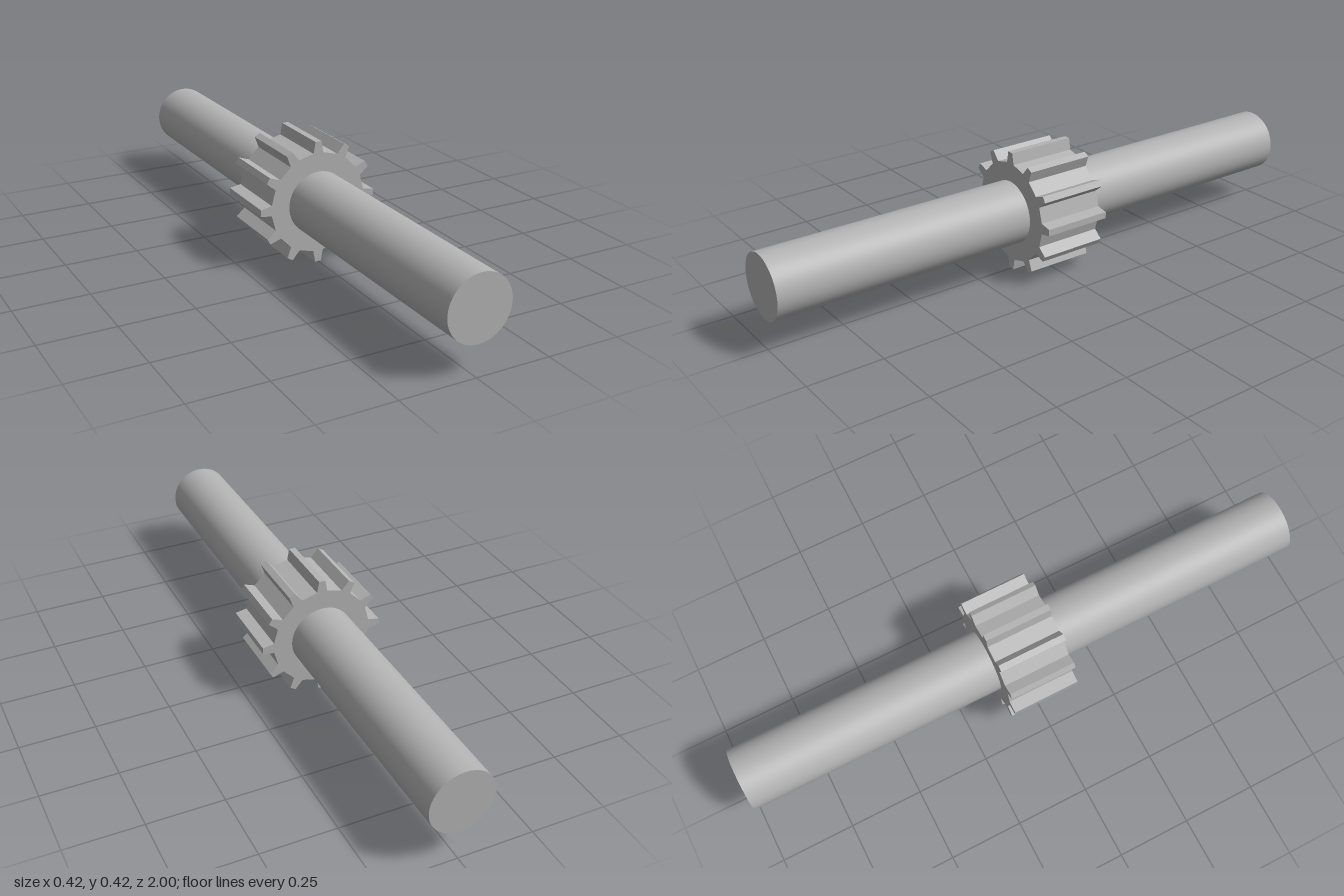
import * as THREE from 'three';

const CENTER_Y = 0.209;
const TEETH = 12;
const GEAR_DEPTH = 0.232;
const SHAFT_RADIUS = 0.1065;

// Gear outline: each tooth is a tapered block, with straight roots between
function gearShape() {
  const tooth = [[0.018, 0.17], [0.011, 0.209], [-0.011, 0.209], [-0.018, 0.17]];
  const points = [];
  for (let i = 0; i < TEETH; i++) {
    const angle = (i / TEETH) * Math.PI * 2;
    for (const [x, y] of tooth) {
      points.push(new THREE.Vector2(x, y).rotateAround(new THREE.Vector2(), angle));
    }
  }
  return new THREE.Shape(points);
}

export function createModel() {
  const model = new THREE.Group();
  model.name = 'pinionShaft';
  const steel = new THREE.MeshStandardMaterial({ color: 0xb3b3b3 });
  steel.name = 'steel grey';

  // Long round shaft along z
  const shaft = new THREE.Mesh(
    new THREE.CylinderGeometry(SHAFT_RADIUS, SHAFT_RADIUS, 2, 96).rotateX(Math.PI / 2), steel);
  shaft.name = 'shaft';
  shaft.position.y = CENTER_Y;

  // Toothed wheel around the middle, bored to fit the shaft
  const outline = gearShape();
  outline.holes.push(new THREE.Path().absarc(0, 0, SHAFT_RADIUS - 0.002, 0, Math.PI * 2, true));
  const gear = new THREE.Mesh(
    new THREE.ExtrudeGeometry(outline, { depth: GEAR_DEPTH, bevelEnabled: false, curveSegments: 48 })
      .translate(0, 0, -GEAR_DEPTH / 2), steel);
  gear.name = 'gear';
  gear.position.y = CENTER_Y;

  model.add(shaft, gear);
  return model;
}
